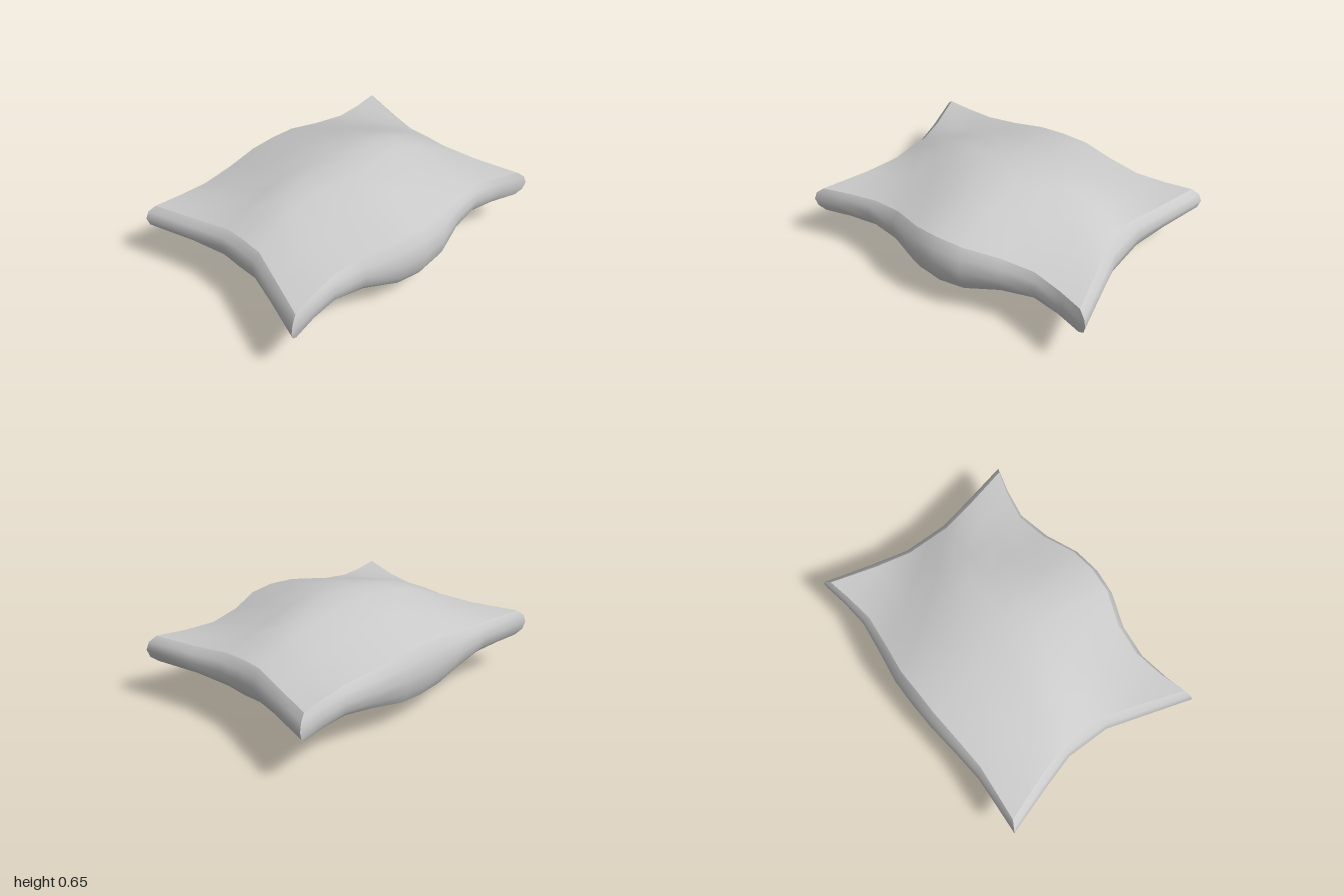
import * as THREE from 'three';

const MID = 0.35; // height of the seam

// Grid stations across (u) and along (v) the cushion
const U = [-1, -0.56, -0.22, 0, 0.22, 0.56, 1];
const V = [-1, -0.82, -0.62, -0.4, -0.18, 0, 0.18, 0.4, 0.62, 0.82, 1];
const NU = U.length - 1, NV = V.length - 1;

// Wavy outline of the faces: side edges per v, end edges per u
const rightX = [-0.69, -0.655, -0.63, -0.65, -0.675, -0.67, -0.665, -0.645, -0.63, -0.645, -0.66];
const leftX = [0.635, 0.58, 0.54, 0.575, 0.652, 0.668, 0.652, 0.575, 0.555, 0.59, 0.637];
const backZ = [-0.942, -0.86, -0.805, -0.805, -0.81, -0.865, -0.942];
const frontZ = [0.938, 0.835, 0.77, 0.77, 0.77, 0.84, 0.938];

// Puffiness: along the centre line, along the sides, and the blend between them
const crownTop = [0.305, 0.3, 0.28, 0.241, 0.178, 0.11];
const crownBottom = [0.347, 0.347, 0.333, 0.29, 0.206, 0.12];
const sideTop = [0.155, 0.147, 0.115, 0.095, 0.087, 0.085];
const sideBottom = [0.17, 0.158, 0.122, 0.096, 0.087, 0.085];
const blend = [1, 0.94, 0.62, 0];

function facePoint(i, j, sign) {
  const a = Math.abs(i - NU / 2), b = Math.abs(j - NV / 2);
  const [crown, side] = sign > 0 ? [crownTop, sideTop] : [crownBottom, sideBottom];
  // The bulge narrows towards the two ends
  const puff = blend[a] ** (1 + 4 * Math.abs(V[j]) ** 3);
  return new THREE.Vector3(
    THREE.MathUtils.lerp(rightX[j], leftX[j], (U[i] + 1) / 2),
    MID + sign * THREE.MathUtils.lerp(side[b], crown[b], puff),
    THREE.MathUtils.lerp(backZ[i], frontZ[i], (V[j] + 1) / 2)
  );
}

// Smooth sheet from rows of points
function sheet(name, rows, flip) {
  const n = rows[0].length, index = [];
  for (let r = 0; r < rows.length - 1; r++) {
    for (let c = 0; c < n - 1; c++) {
      const p = r * n + c, q = p + n;
      if (flip) index.push(p, p + 1, q, p + 1, q + 1, q);
      else index.push(p, q, p + 1, p + 1, q, q + 1);
    }
  }
  const geometry = new THREE.BufferGeometry().setFromPoints(rows.flat());
  geometry.setIndex(index);
  geometry.computeVertexNormals();
  const mesh = new THREE.Mesh(geometry, new THREE.MeshStandardMaterial({
    color: 0xcccccc, side: THREE.DoubleSide
  }));
  mesh.name = name;
  return mesh;
}

// Faceted rim section: [outward share, height share]
const rimProfile = [[0, 1], [0.73, 0.58], [1, 0], [0.73, -0.58], [0, -1]];

function rimRow(i, j) {
  const top = facePoint(i, j, 1), bottom = facePoint(i, j, -1);
  const onSide = Math.abs(U[i]) === 1;
  const outX = onSide ? U[i] * (0.055 - 0.023 * Math.abs(V[j])) : 0.02 * U[i] ** 3;
  const outZ = 0.058 * V[j];
  return rimProfile.map(([out, k]) => new THREE.Vector3(
    top.x + outX * out,
    MID + k * (k > 0 ? top.y - MID : MID - bottom.y),
    top.z + outZ * out
  ));
}

export function createModel() {
  const cushion = new THREE.Group();
  cushion.name = 'cushion';

  // Upper and lower padded faces
  for (const [name, sign] of [['topFace', 1], ['bottomFace', -1]]) {
    const rows = V.map((_, j) => U.map((_, i) => facePoint(i, j, sign)));
    cushion.add(sheet(name, rows, sign < 0));
  }

  // Four rounded rims meeting in pointed corners
  const alongX = j => U.map((_, i) => rimRow(i, j));
  const alongZ = i => V.map((_, j) => rimRow(i, j));
  cushion.add(
    sheet('frontRim', alongX(NV), true),
    sheet('backRim', alongX(0), false),
    sheet('leftRim', alongZ(NU), false),
    sheet('rightRim', alongZ(0), true)
  );
  return cushion;
}
